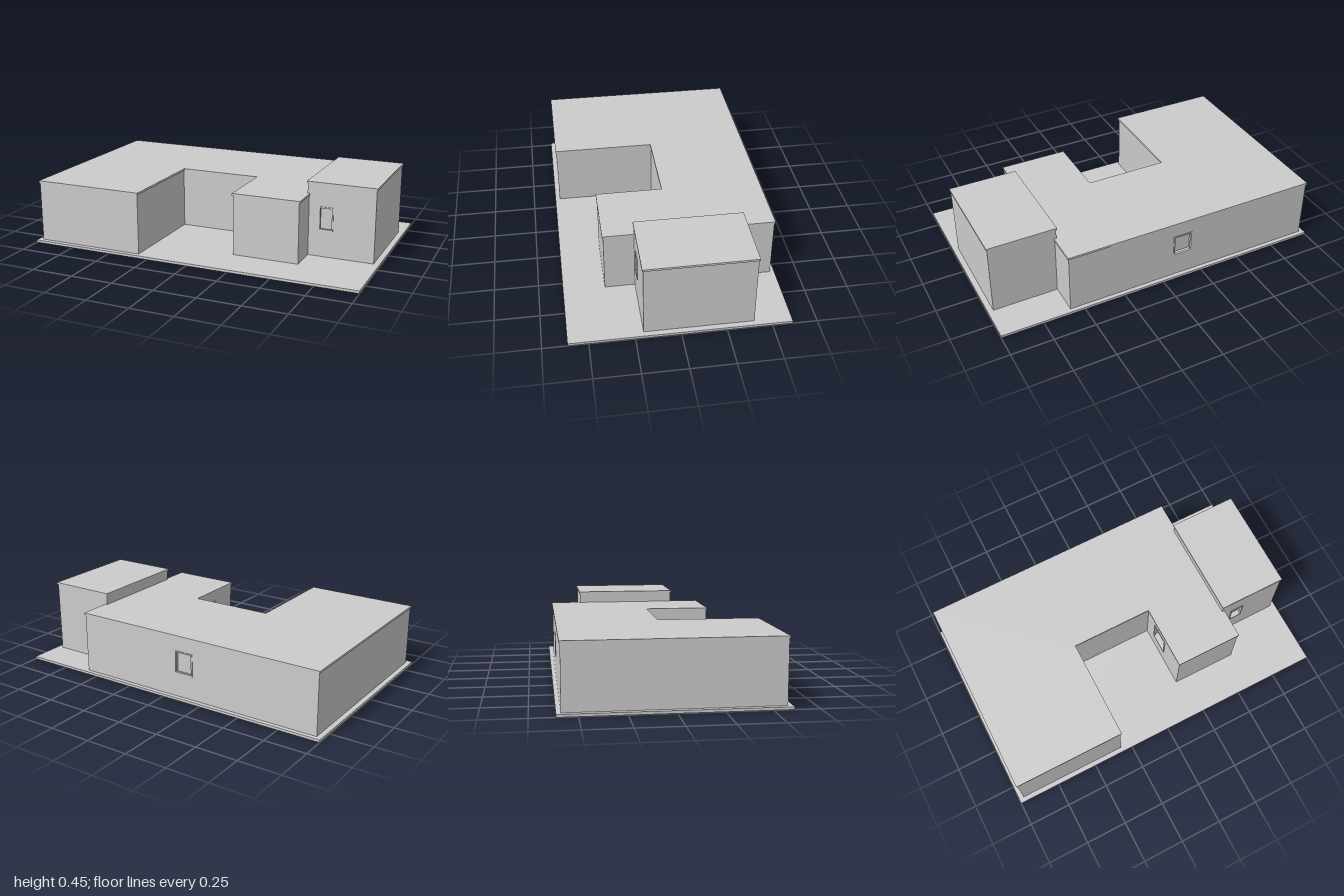
import * as THREE from 'three';

const BASE = 0.015, DEPTH = 0.03;

export function createModel() {
  const model = new THREE.Group();
  model.name = 'courtyardHouse';
  const plaster = new THREE.MeshStandardMaterial({ color: 0xcccccc });
  plaster.name = 'light grey';

  const add = (geo, name, parent = model) => {
    const mesh = new THREE.Mesh(geo, plaster);
    mesh.name = name;
    parent.add(mesh);
    return mesh;
  };

  // Upright prism over a footprint of [x, z] corners
  const prism = (name, pts, y0, y1) => {
    const shape = new THREE.Shape(pts.map(([x, z]) => new THREE.Vector2(x, -z)));
    const geo = new THREE.ExtrudeGeometry(shape, { depth: y1 - y0, bevelEnabled: false });
    geo.rotateX(-Math.PI / 2);
    geo.translate(0, y0, 0);
    return add(geo, name);
  };
  const rect = (x0, x1, z0, z1) => [[x0, z0], [x1, z0], [x1, z1], [x0, z1]];

  // Flat plate with a rectangular opening, outer face at z = depth
  const plate = ([x0, x1, y0, y1], [a, b, c, d], depth) => {
    const v = (x, y) => new THREE.Vector2(x, y);
    const shape = new THREE.Shape([v(x0, y0), v(x1, y0), v(x1, y1), v(x0, y1)]);
    shape.holes.push(new THREE.Path([v(a, c), v(a, d), v(b, d), v(b, c)]));
    return new THREE.ExtrudeGeometry(shape, { depth, bevelEnabled: false });
  };

  // Wall with a recessed window and a slim projecting frame
  const windowWall = (name, wall, hole, position, turn) => {
    const group = new THREE.Group();
    group.name = name;
    group.position.set(...position);
    group.rotation.y = turn;
    add(plate(wall, hole, DEPTH), 'wall', group);
    const [a, b, c, d] = hole, t = 0.008;
    const frame = plate(hole, [a + t, b - t, c + t, d - t], 0.014);
    frame.translate(0, 0, DEPTH - 0.01);
    add(frame, 'windowFrame', group);
    model.add(group);
  };

  // Ground slab
  prism('groundSlab', rect(-1, 1, -0.613, 0.613), 0, BASE);

  // U-shaped house; walls with windows are set in front of the core
  const house = (back, inner, e) => [
    [-0.97 - e, back - e], [0.58 + e, back - e], [0.58 + e, 0.375 + e], [inner - e, 0.375 + e],
    [inner - e, -0.013 + e], [-0.315 + e, -0.013 + e], [-0.315 + e, 0.585 + e], [-0.97 - e, 0.585 + e],
  ];
  prism('houseCore', house(-0.588 + DEPTH, 0.185 + DEPTH, 0), BASE, 0.37);
  prism('houseRoof', house(-0.588, 0.185, 0.005), 0.37, 0.382);
  windowWall('backWall', [-0.58, 0.97, BASE, 0.37], [0.07, 0.19, 0.155, 0.29],
    [0, 0, -0.588 + DEPTH], Math.PI);
  windowWall('courtyardWall', [-0.013, 0.375, BASE, 0.37], [0.07, 0.2, 0.14, 0.31],
    [0.185 + DEPTH, 0, 0], -Math.PI / 2);

  // Taller block at the side
  prism('towerCore', rect(0.57, 0.967, -0.405, 0.203 - DEPTH), BASE, 0.441);
  prism('towerRoof', rect(0.565, 0.972, -0.41, 0.208), 0.441, 0.453);
  windowWall('towerFrontWall', [0.57, 0.967, BASE, 0.441], [0.64, 0.725, 0.172, 0.312],
    [0, 0, 0.203 - DEPTH], 0);

  return model;
}
